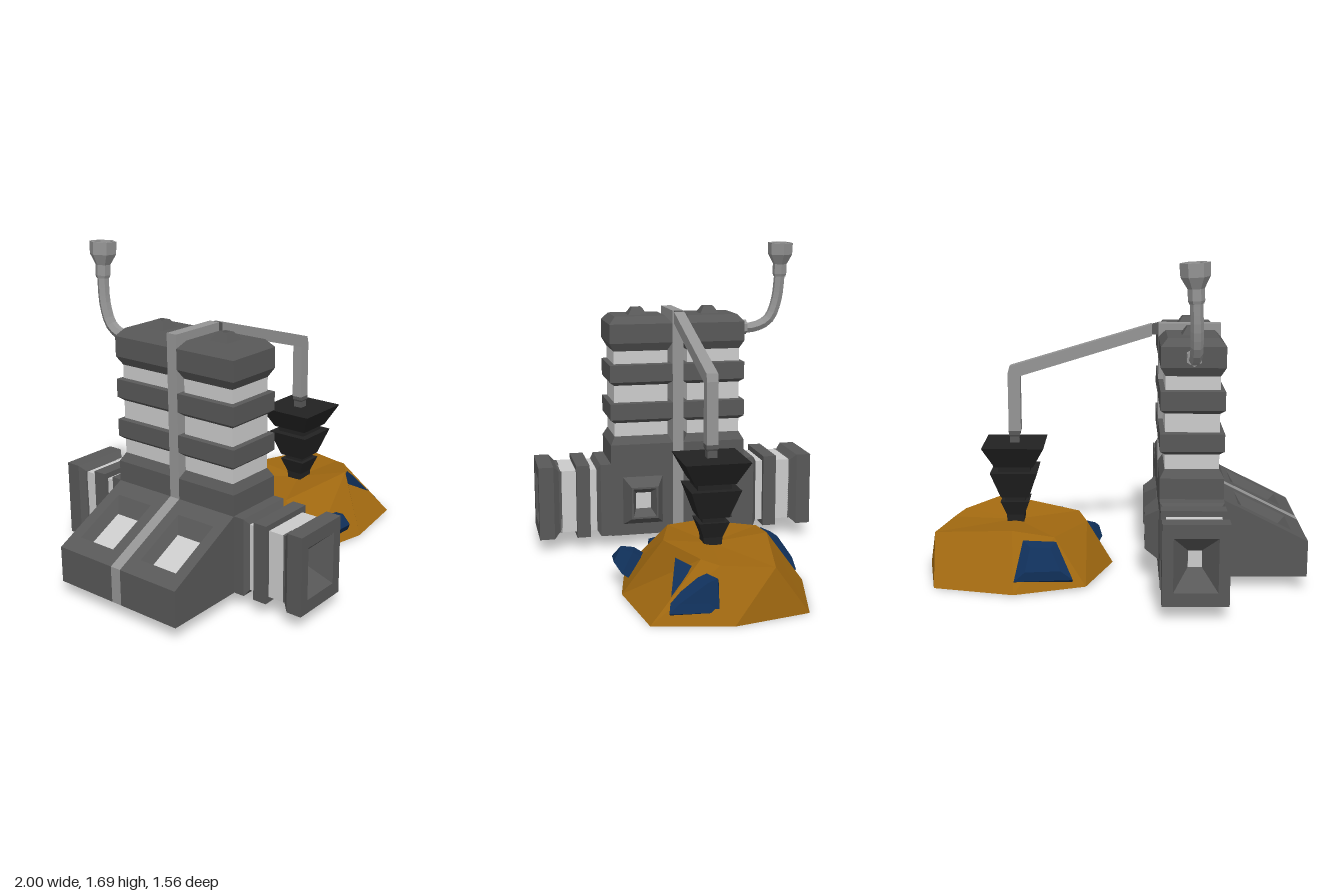
import * as THREE from 'three';

const mat = (color) => new THREE.MeshStandardMaterial({ color, flatShading: true, side: THREE.DoubleSide });
const V = (x, y, z) => new THREE.Vector3(x, y, z);

// Skin a list of equal-length rings, closed with a fan at both ends
function skin(rings) {
  const pos = [];
  const tri = (...pts) => pts.forEach((p) => pos.push(p.x, p.y, p.z));
  const n = rings[0].length;
  for (let r = 0; r < rings.length - 1; r++) {
    const a = rings[r], b = rings[r + 1];
    for (let i = 0; i < n; i++) {
      const j = (i + 1) % n;
      tri(a[i], a[j], b[j]);
      tri(a[i], b[j], b[i]);
    }
  }
  const first = rings[0], last = rings[rings.length - 1];
  for (let i = 1; i < n - 1; i++) {
    tri(first[0], first[i + 1], first[i]);
    tri(last[0], last[i], last[i + 1]);
  }
  const g = new THREE.BufferGeometry();
  g.setAttribute('position', new THREE.Float32BufferAttribute(pos, 3));
  g.computeVertexNormals();
  return g;
}

// Rectangular sections [halfWidth, halfHeight, z, slope] stacked along z
const loft = (sections) => skin(sections.map(([w, h, z, k = 0]) =>
  [[-w, -h], [w, -h], [w, h], [-w, h]].map(([x, y]) => V(x, y, z + k * x))));

export function createModel() {
  const root = new THREE.Group();
  const dark = mat(0x585858), light = mat(0xcccccc), pipe = mat(0x959595);
  const black = mat(0x222222), rockMat = mat(0xa06810), blue = mat(0x10305a);

  function add(parent, name, geometry, material, pos = [0, 0, 0], axis = 'z') {
    const m = new THREE.Mesh(geometry, material);
    m.name = name;
    m.position.set(...pos);
    if (axis === 'y') m.rotation.x = -Math.PI / 2;
    if (axis === 'x') m.rotation.y = Math.PI / 2;
    if (axis === '-z') m.rotation.y = Math.PI;
    parent.add(m);
    return m;
  }

  // Two mirrored halves of the building
  const X = -0.4025, W = 0.1625, D = 0.175, IN = 0.025;
  for (const s of [1, -1]) {
    const half = new THREE.Group();
    half.name = s > 0 ? 'frontHalf' : 'backHalf';
    root.add(half);
    const c = [X, 0, 0.205 * s];

    // Tower: light core, dark base, bands and roof with a hollow knob
    add(half, 'towerCore', loft([[W - IN, D - IN, 0.6], [W - IN, D - IN, 1.13]]), light, c, 'y');
    add(half, 'towerBase', loft([[W, D, 0.07], [W, D, 0.59], [W - IN, D - IN, 0.635]]), dark, c, 'y');
    for (const [a, b] of [[0.71, 0.825], [0.92, 1.04]]) {
      add(half, 'towerBand', loft([[W - IN, D - IN, a], [W, D, a + 0.02],
        [W, D, b - 0.005], [W - IN, D - IN, b]]), dark, c, 'y');
    }
    add(half, 'towerRoof', loft([[W - IN, D - IN, 1.11], [W, D, 1.155], [W, D, 1.26],
      [W - 0.035, D - 0.035, 1.3], [0.053, 0.053, 1.3], [0.027, 0.027, 1.34],
      [0.016, 0.016, 1.34], [0.01, 0.01, 1.32]]), dark, c, 'y');

    // Side arm ending in a recessed window
    const armPos = [X, 0.2775, 0];
    const armAxis = s > 0 ? 'z' : '-z';
    const H = 0.205;
    add(half, 'armCore', loft([[W - IN, H - 0.03, 0.38], [W - IN, H - 0.03, 0.66]]), light, armPos, armAxis);
    add(half, 'armRoot', loft([[W, H, 0.379], [W, H, 0.44], [W - IN, H - 0.03, 0.46]]), dark, armPos, armAxis);
    add(half, 'armBand', loft([[W, H, 0.5], [W, H, 0.575]]), dark, armPos, armAxis);
    add(half, 'armEnd', loft([[W - IN, H - 0.03, 0.655], [W - IN, H - 0.03, 0.67], [W, H, 0.7],
      [W, H, 0.782], [0.108, 0.136, 0.782], [0.034, 0.042, 0.68]]), dark, armPos, armAxis);
    add(half, 'armWindow', loft([[0.034, 0.042, 0.675], [0.034, 0.042, 0.683]]), light, armPos, armAxis);

    // Raised window on the +x face
    const winPos = [-0.24, 0.27, 0.2025 * s];
    add(half, 'windowFrame', loft([[0.1125, 0.135, 0], [0.075, 0.09, 0.07],
      [0.065, 0.08, 0.07], [0.042, 0.045, 0.01]]), dark, winPos, 'x');
    add(half, 'windowPane', loft([[0.042, 0.045, 0.005], [0.042, 0.045, 0.013]]), light, winPos, 'x');

    // Sloping annex with a skylight
    const k = 0.506, annexPos = [-0.7825, 0, 0.205 * s];
    add(half, 'annex', loft([[0.2175, D, 0.07], [0.2175, D, 0.37, k],
      [0.1375, 0.1125, 0.37, k], [0.09, 0.075, 0.31, k]]), dark, annexPos, 'y');
    add(half, 'skylight', loft([[0.09, 0.075, 0.305, k], [0.09, 0.075, 0.313, k]]), light, annexPos, 'y');
  }

  // Flat profile in x,y given thickness around z = 0
  const slab = (pts, t) => new THREE.ExtrudeGeometry(
    new THREE.Shape(pts.map(([x, y]) => new THREE.Vector2(x, y))),
    { depth: t, bevelEnabled: false }).translate(0, 0, -t / 2);

  // Spine between the halves and the boom reaching from it
  add(root, 'spine', slab([[-1, 0.07], [-0.24, 0.07], [-0.24, 1.33], [-0.565, 1.33],
    [-0.565, 0.48], [-1, 0.26]], 0.06), pipe);
  add(root, 'boomJoint', slab([[-0.24, 1.27], [-0.2, 1.27], [-0.2, 1.32], [-0.24, 1.33]], 0.046), dark);
  add(root, 'boom', slab([[-0.205, 1.262], [0.49, 1.048], [0.49, 0.75], [0.555, 0.75],
    [0.555, 1.06], [0.545, 1.1], [-0.205, 1.325]], 0.058), pipe);
  add(root, 'drillJoint', loft([[0.025, 0.025, 0.68], [0.025, 0.025, 0.72], [0.03, 0.03, 0.73],
    [0.03, 0.03, 0.75]]), dark, [0.525, 0, 0], 'y');

  // Drill of three inverted square frustums
  add(root, 'drill', loft([[0.045, 0.045, 0.25], [0.048, 0.048, 0.29], [0.077, 0.077, 0.37],
    [0.055, 0.055, 0.37], [0.055, 0.055, 0.395], [0.075, 0.075, 0.395], [0.125, 0.125, 0.54],
    [0.085, 0.085, 0.54], [0.085, 0.085, 0.57], [0.103, 0.103, 0.57], [0.163, 0.163, 0.685]]),
  black, [0.525, 0, 0], 'y');

  // Boulder: base outline, shoulder ring, dipped crown
  const base = [[0, -0.03], [0.135, -0.385], [0.5, -0.49], [0.92, -0.385],
    [1, 0], [0.915, 0.38], [0.5, 0.445], [0.135, 0.37]].map(([x, z]) => V(x, 0.014 * (1 - x), z));
  const shoulder = [[0.14, 0.25, -0.03], [0.3, 0.25, -0.3], [0.52, 0.28, -0.29], [0.935, 0.245, -0.21],
    [0.87, 0.25, 0.04], [0.82, 0.27, 0.12], [0.62, 0.31, 0.26], [0.19, 0.25, 0.15]].map((p) => V(...p));
  const crown = shoulder.map((p) => p.clone().lerp(V(0.525, 0.25, 0), 0.93));
  add(root, 'boulder', skin([base, shoulder, crown].map((r) => r.slice().reverse())), rockMat);

  // Crystals: four corners on the rock and how far they stand out
  const crystals = [
    [[[0.09, 0.07, 0.11], [0.15, 0.07, 0.25], [0.16, 0.16, 0.24], [0.12, 0.17, 0.13]], 0.05],
    [[[0.24, 0.07, 0.41], [0.4, 0.07, 0.42], [0.37, 0.17, 0.36], [0.29, 0.17, 0.34]], 0.07],
    [[[0.92, 0.05, 0.29], [0.95, 0.05, 0.06], [0.91, 0.2, 0.06], [0.72, 0.25, 0.22]], 0.02],
    [[[0.5, 0.06, -0.45], [0.2, 0.06, -0.42], [0.29, 0.23, -0.32], [0.46, 0.24, -0.33]], 0.035],
  ];
  for (const [corners, out] of crystals) {
    const q = corners.map((p) => V(...p));
    const mid = q.reduce((a, p) => a.add(p), V(0, 0, 0)).multiplyScalar(0.25);
    const n = q[2].clone().sub(q[0]).cross(q[3].clone().sub(q[1])).normalize();
    const ring = (shrink, d) => q.map((p) => p.clone().lerp(mid, shrink).addScaledVector(n, d));
    add(root, 'crystal', skin([ring(0, -0.06), ring(0, 0.008), ring(0.4, out)]), blue);
  }

  // Bent exhaust with a hexagonal cup
  const exhaust = new THREE.CatmullRomCurve3([V(X, 1.21, -0.38), V(X, 1.212, -0.48), V(-0.402, 1.255, -0.565),
    V(-0.4, 1.36, -0.61), V(-0.392, 1.53, -0.628)]);
  add(root, 'exhaustPipe', new THREE.TubeGeometry(exhaust, 12, 0.031, 6), pipe);
  const collar = new THREE.CylinderGeometry(0.042, 0.042, 0.055, 6).rotateX(Math.PI / 2);
  add(root, 'exhaustCollar', collar, pipe, [X, 1.212, -0.405]);
  const cup = [[0, 0], [0.035, 0], [0.04, 0.015], [0.04, 0.07], [0.07, 0.125], [0.072, 0.19],
    [0.055, 0.19], [0.045, 0.12], [0, 0.12]].map(([r, y]) => new THREE.Vector2(r, y));
  add(root, 'exhaustCup', new THREE.LatheGeometry(cup, 6, Math.PI / 6), pipe, [-0.394, 1.5, -0.626])
    .rotation.z = -0.06;

  return root;
}
